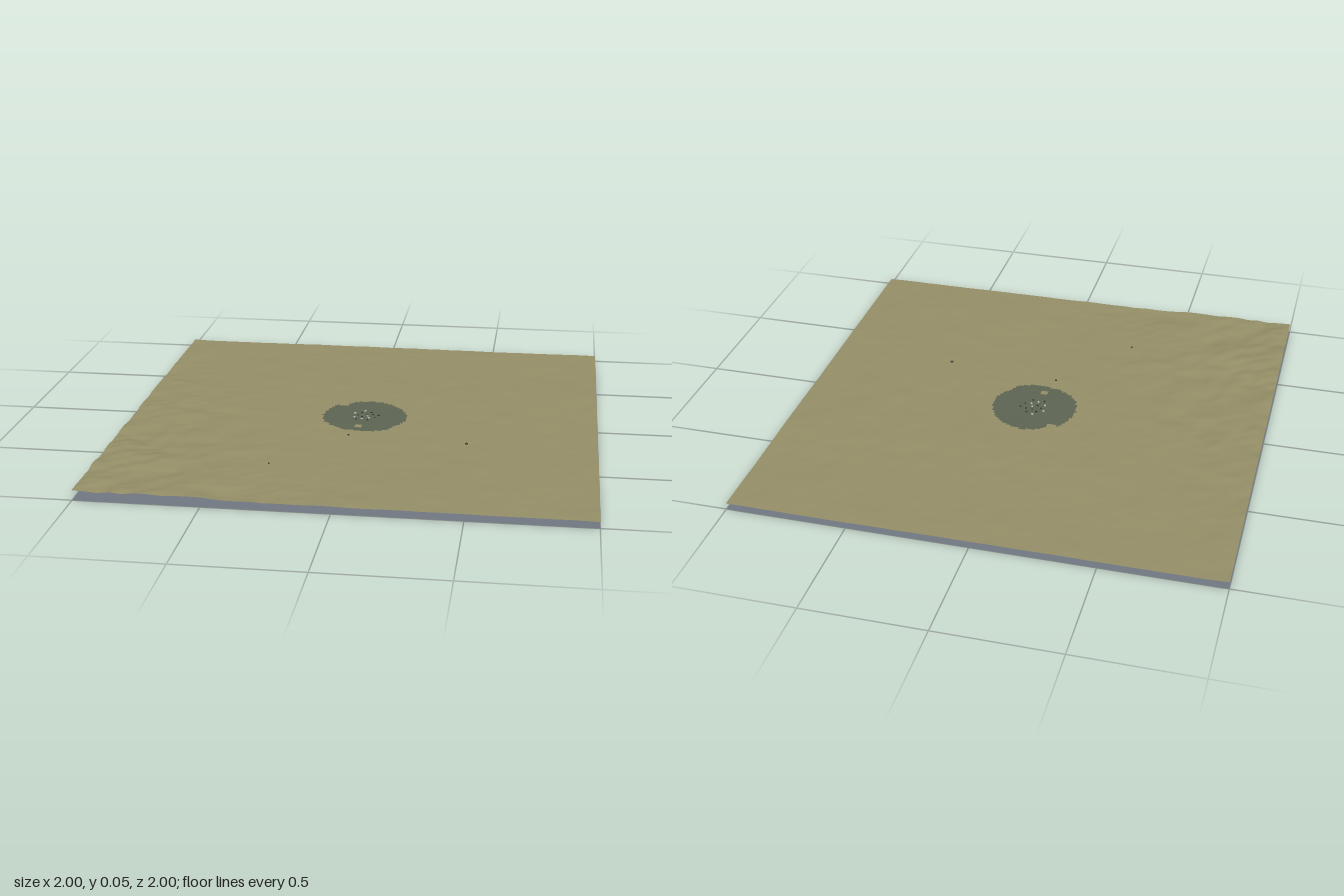
import * as THREE from 'three';

const flat = (name, color, side = THREE.FrontSide) => {
  const m = new THREE.MeshStandardMaterial({ color, side });
  m.name = name;
  return m;
};

// seeded smooth value noise, range -1..1
const hash = (i, j) => {
  const s = Math.sin(i * 127.1 + j * 311.7) * 43758.5453;
  return (s - Math.floor(s)) * 2 - 1;
};
const noise = (x, y) => {
  const i = Math.floor(x), j = Math.floor(y);
  const u = THREE.MathUtils.smoothstep(x - i, 0, 1), v = THREE.MathUtils.smoothstep(y - j, 0, 1);
  const { lerp } = THREE.MathUtils;
  return lerp(lerp(hash(i, j), hash(i + 1, j), u), lerp(hash(i, j + 1), hash(i + 1, j + 1), u), v);
};

// gentle plain rising to rugged hills towards the front right-hand corner (-x, +z)
function height(x, z) {
  const hills = THREE.MathUtils.smoothstep(-x * 0.75 + z * 0.4, 0.2, 1.1);
  const broad = noise(x * 3 + 7, z * 3 + 2);
  const ridges = noise(x * 8 + z * 3, z * 11 - x * 4);
  const fine = noise(x * 20 + z * 6, z * 24);
  const h = 0.028 + 0.012 * hills + 0.002 * broad
    + (0.0012 + 0.006 * hills) * ridges + (0.0005 + 0.003 * hills) * fine;
  return THREE.MathUtils.clamp(h, 0.018, 0.055);
}

export function createModel() {
  const model = new THREE.Group();
  const grass = flat('olive ground', 0x979169, THREE.DoubleSide);
  const settled = flat('grey green ground', 0x5f6654, THREE.DoubleSide);
  const slate = flat('slate base', 0x727a84, THREE.DoubleSide);
  const pale = flat('pale stone', 0xc8cccc);
  const dark = flat('dark stone', 0x3c4038);

  // terrain sheet
  const n = 200;
  const ground = new THREE.PlaneGeometry(2, 2, n, n).rotateX(-Math.PI / 2);
  const pos = ground.attributes.position;
  for (let i = 0; i < pos.count; i++) pos.setY(i, height(pos.getX(i), pos.getZ(i)));
  ground.computeVertexNormals();

  // ragged round patch in the middle, chosen cell by cell
  const cells = [[], []];
  const old = ground.index.array;
  for (let c = 0; c < n * n; c++) {
    const x = ((c % n) + 0.5) * 2 / n - 1, z = (Math.floor(c / n) + 0.5) * 2 / n - 1;
    const notch = x > -0.13 && x < -0.09 && z < -0.12;
    const gap = Math.abs(x + 0.015) < 0.011 && z > 0.11 && z < 0.14;
    const inside = Math.hypot(x, z) < 0.182 + 0.006 * noise(x * 45, z * 45) && !notch && !gap;
    cells[inside ? 1 : 0].push(...old.slice(c * 6, c * 6 + 6));
  }
  ground.setIndex([...cells[0], ...cells[1]]);
  ground.addGroup(0, cells[0].length, 0);
  ground.addGroup(cells[0].length, cells[1].length, 1);
  const terrain = new THREE.Mesh(ground, [grass, settled]);
  terrain.name = 'terrain';
  model.add(terrain);

  // flat base sheet
  const base = new THREE.Mesh(new THREE.PlaneGeometry(2, 2).rotateX(-Math.PI / 2), slate);
  base.name = 'base';
  model.add(base);

  // tiny stones scattered around the centre of the patch
  const stones = new THREE.Group();
  stones.name = 'stones';
  const addStone = (x, z, size, material) => {
    const stone = new THREE.Mesh(new THREE.BoxGeometry(size, 0.005, size), material);
    stone.position.set(x, height(x, z) + 0.0015, z);
    stone.rotation.y = x * 40;
    stone.name = 'stone';
    stones.add(stone);
  };
  for (let i = 0; i < 16; i++) {
    const a = i * 2.4, r = 0.016 * Math.sqrt(i + 0.3);
    addStone(r * Math.cos(a), r * Math.sin(a), 0.007, i % 3 ? dark : pale);
  }
  addStone(-0.04, 0.24, 0.008, dark);
  addStone(0.46, 0.28, 0.01, dark);
  addStone(-0.31, 0.61, 0.007, dark);
  model.add(stones);

  return model;
}
